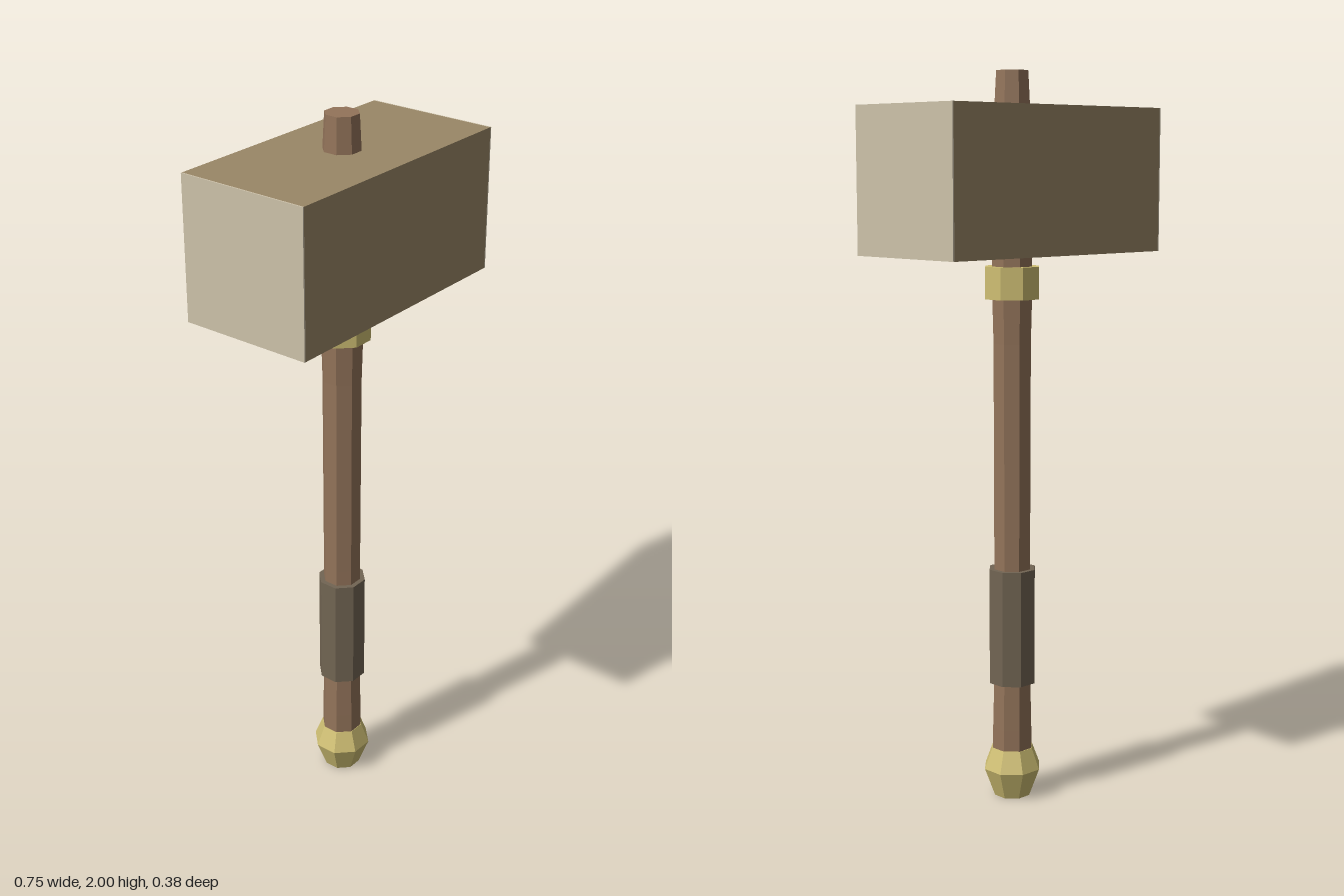
import * as THREE from 'three';

const SIDES = 8;
const paint = (color) => new THREE.MeshStandardMaterial({ color, flatShading: true });

// Eight-sided turned part; profile is [half width across flats, height], bottom to top
function turned(name, profile, material) {
  const k = 1 / Math.cos(Math.PI / SIDES);
  const points = profile.map(([r, y]) => new THREE.Vector2(r * k, y));
  const geometry = new THREE.LatheGeometry(points, SIDES, Math.PI / SIDES);
  const mesh = new THREE.Mesh(geometry, material);
  mesh.name = name;
  return mesh;
}

function block(name, w, h, d, x, y, material) {
  const mesh = new THREE.Mesh(new THREE.BoxGeometry(w, h, d), material);
  mesh.name = name;
  mesh.position.set(x, y, 0);
  return mesh;
}

export function createModel() {
  const model = new THREE.Group();
  model.name = 'warHammer';
  const wood = paint(0x93745a);
  const brass = paint(0xcfbf73);
  const leather = paint(0x726553);
  const stone = paint(0x9a8767);
  const paleStone = paint(0xcdc2aa);

  // Shaft flares slightly at both ends and tapers through the head
  model.add(turned('shaft', [
    [0, 0.1], [0.054, 0.12], [0.053, 0.2], [0.05, 0.33], [0.049, 0.7],
    [0.05, 1.28], [0.053, 1.4], [0.053, 1.52], [0.047, 1.9], [0.042, 2], [0, 2],
  ], wood));

  // Pommel, grip wrap and collar
  model.add(turned('pommel', [[0, 0], [0.048, 0], [0.076, 0.08], [0.055, 0.14], [0, 0.14]], brass));
  model.add(turned('grip', [[0, 0.33], [0.062, 0.33], [0.062, 0.655], [0, 0.655]], leather));
  model.add(turned('collar', [[0, 1.4], [0.072, 1.4], [0.072, 1.487], [0, 1.487]], brass));

  // Head block with pale striking faces
  const h = 0.386, d = 0.376, y = 1.714, face = 0.004;
  model.add(block('head', 0.754 - 2 * face, h, d, 0, y, stone));
  for (const [name, s] of [['leftStrikingFace', 1], ['rightStrikingFace', -1]]) {
    model.add(block(name, face, h, d, s * (0.377 - face / 2), y, paleStone));
  }
  return model;
}
